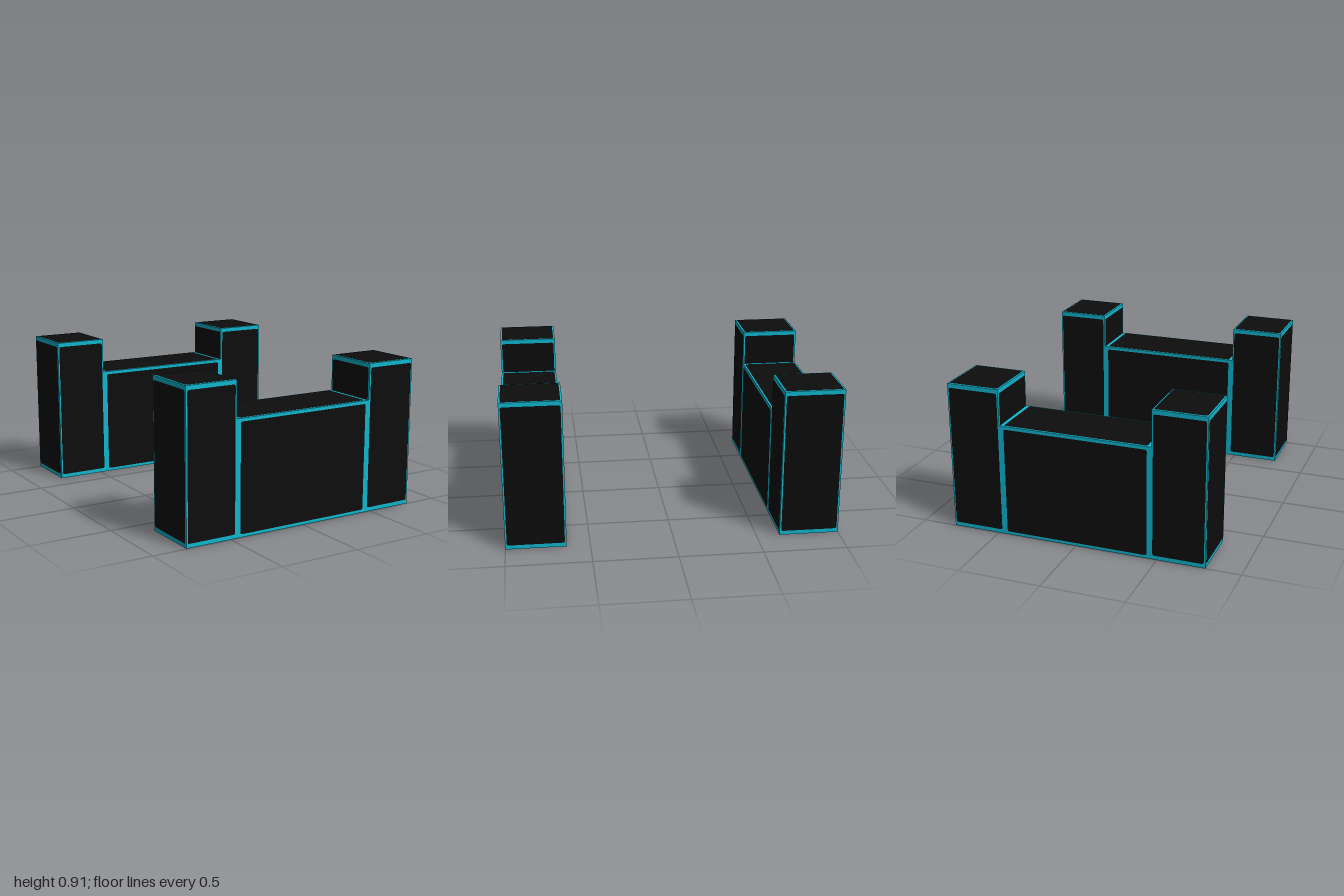
import * as THREE from 'three';

const black = new THREE.MeshStandardMaterial({ color: 0x0d0d0d });
black.name = 'black panel';
const cyan = new THREE.MeshStandardMaterial({ color: 0x10b6cd });
cyan.name = 'cyan trim';

const BORDER = 0.028; // trim width as a share of each block dimension
const LIFT = 0.0015;

// Flat panel with slightly rounded corners, facing +z
function panelGeometry(w, h) {
  const x = w * (0.5 - BORDER), y = h * (0.5 - BORDER), r = 0.012;
  const s = new THREE.Shape();
  s.moveTo(-x + r, -y);
  s.lineTo(x - r, -y);
  s.quadraticCurveTo(x, -y, x, -y + r);
  s.lineTo(x, y - r);
  s.quadraticCurveTo(x, y, x - r, y);
  s.lineTo(-x + r, y);
  s.quadraticCurveTo(-x, y, -x, y - r);
  s.lineTo(-x, -y + r);
  s.quadraticCurveTo(-x, -y, -x + r, -y);
  return new THREE.ShapeGeometry(s, 3);
}

// Trim-coloured block with a dark panel on each listed face
function block(name, w, h, d, faces) {
  const group = new THREE.Group();
  group.name = name;
  const body = new THREE.Mesh(new THREE.BoxGeometry(w, h, d), cyan);
  body.name = 'trimBody';
  group.add(body);
  const q = Math.PI / 2;
  const layout = {
    front: [w, h, d, 0, 0],
    back: [w, h, d, 0, 2 * q],
    left: [d, h, w, 0, q],
    right: [d, h, w, 0, -q],
    top: [w, d, h, -q, 0],
    bottom: [w, d, h, q, 0],
  };
  for (const face of faces) {
    const [pw, ph, depth, rx, ry] = layout[face];
    const panel = new THREE.Mesh(panelGeometry(pw, ph), black);
    panel.name = face + 'Panel';
    panel.rotation.set(rx, ry, 0);
    panel.translateZ(depth / 2 + LIFT);
    group.add(panel);
  }
  return group;
}

// One low wall between two taller pillars
function barrier(name) {
  const group = new THREE.Group();
  group.name = name;
  const depth = 0.36, wallW = 0.93, wallH = 0.69, pillarW = 0.325, pillarH = 0.91;
  const wall = block('wall', wallW, wallH, depth, ['front', 'back', 'top', 'bottom']);
  wall.position.y = wallH / 2;
  group.add(wall);
  for (const side of [-1, 1]) {
    const pillar = block(side > 0 ? 'leftPillar' : 'rightPillar', pillarW, pillarH, depth,
      ['front', 'back', 'left', 'right', 'top', 'bottom']);
    pillar.position.set(side * (wallW + pillarW) / 2, pillarH / 2, 0);
    group.add(pillar);
  }
  return group;
}

export function createModel() {
  const model = new THREE.Group();
  model.name = 'barrierPair';
  for (const side of [1, -1]) {
    const b = barrier(side > 0 ? 'frontBarrier' : 'backBarrier');
    b.position.z = side * 0.82;
    model.add(b);
  }
  return model;
}
